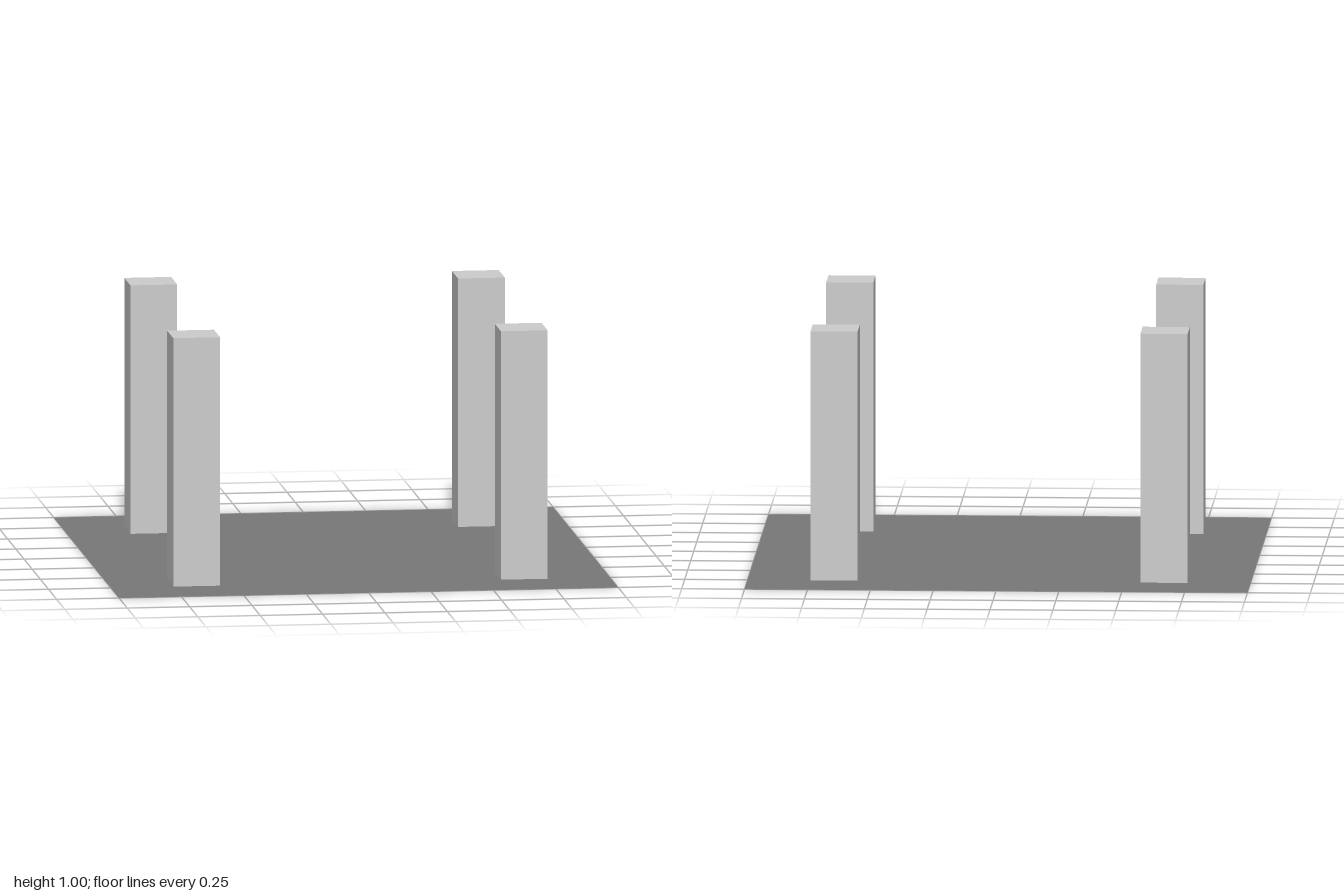
import * as THREE from 'three';

const POST = 0.1875, HEIGHT = 1, CENTRE = 0.65625;
const corners = [[1, 1], [-1, 1], [-1, -1], [1, -1]];

// Closed square outline around (cx, cy)
function square(PathType, cx, cy, size) {
  const h = size / 2;
  return new PathType(corners.map(([x, y]) => new THREE.Vector2(cx + x * h, cy + y * h)));
}

// Square post without its bottom face, so it is hollow from below
function openPost() {
  const geometry = new THREE.BoxGeometry(POST, HEIGHT, POST);
  const index = Array.from(geometry.index.array);
  index.splice(18, 6); // the -y face
  geometry.setIndex(index);
  geometry.clearGroups();
  return geometry.translate(0, HEIGHT / 2, 0);
}

export function createModel() {
  const model = new THREE.Group();
  const postMaterial = new THREE.MeshStandardMaterial({ color: 0xcccccc, side: THREE.DoubleSide });
  const floorMaterial = new THREE.MeshStandardMaterial({ color: 0x787878, side: THREE.DoubleSide });

  // Thin floor with a square opening under each post
  const outline = square(THREE.Shape, 0, 0, 2);
  for (const [x, z] of corners) outline.holes.push(square(THREE.Path, x * CENTRE, z * CENTRE, POST));
  const floor = new THREE.Mesh(new THREE.ShapeGeometry(outline).rotateX(-Math.PI / 2), floorMaterial);
  floor.name = 'floor';
  model.add(floor);

  // Four corner posts
  const geometry = openPost();
  for (const [x, z] of corners) {
    const post = new THREE.Mesh(geometry, postMaterial);
    post.name = (z > 0 ? 'front' : 'back') + (x > 0 ? 'Left' : 'Right') + 'Post';
    post.position.set(x * CENTRE, 0, z * CENTRE);
    model.add(post);
  }
  return model;
}
